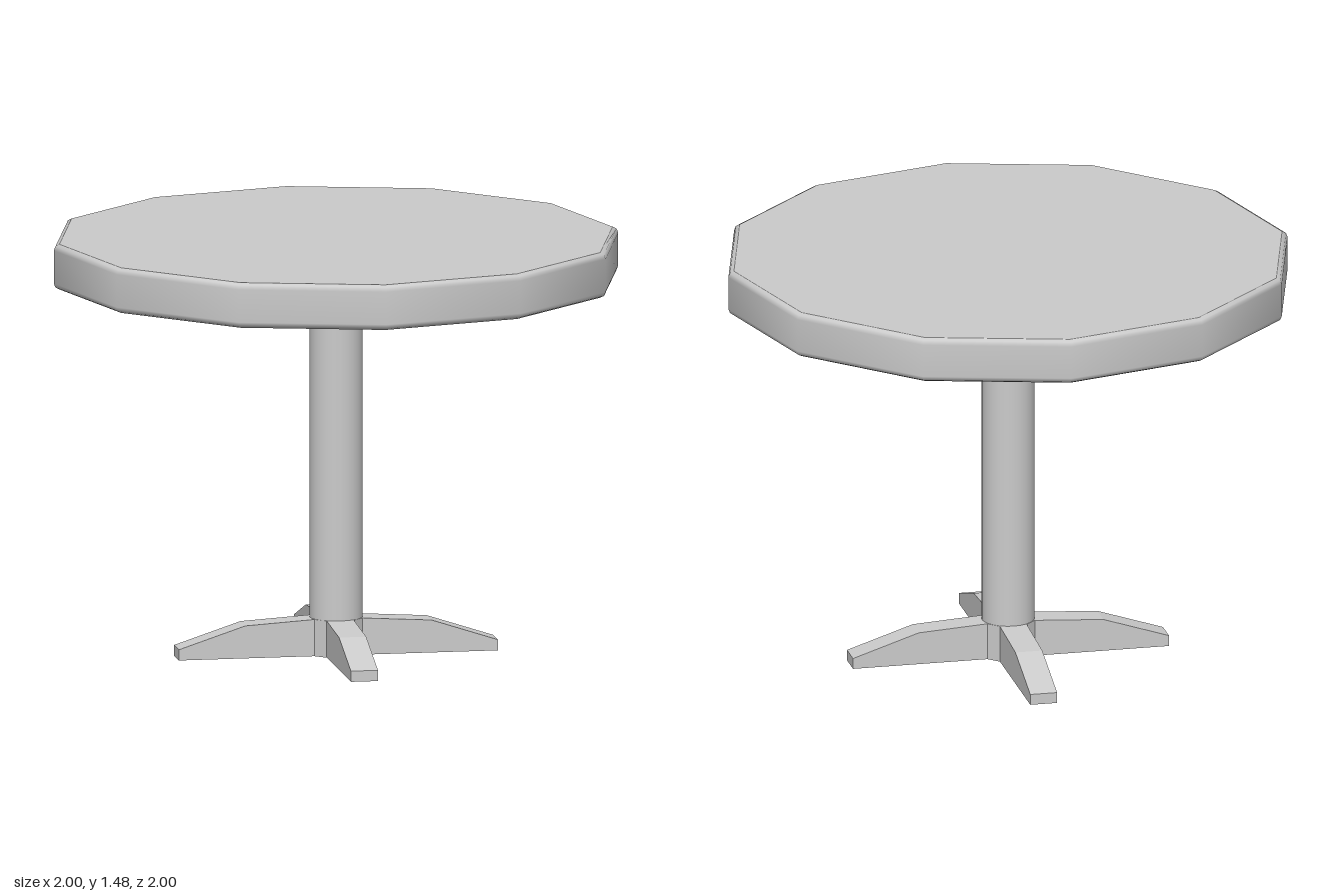
import * as THREE from 'three';

const material = new THREE.MeshStandardMaterial({ color: 0xcccccc });

function addMesh(parent, name, geometry) {
  const mesh = new THREE.Mesh(geometry, material);
  mesh.name = name;
  parent.add(mesh);
  return mesh;
}

export function createModel() {
  const table = new THREE.Group();
  table.name = 'pedestalTable';

  // Twelve-sided top: smooth rim with softened edges, closed by flat discs
  const top = new THREE.Group();
  top.name = 'tableTop';
  table.add(top);
  const sides = 12, bottomY = 1.32, topY = 1.48, capRadius = 0.98;
  const rim = [
    [capRadius, bottomY], [0.994, bottomY + 0.007], [1, bottomY + 0.022],
    [1, topY - 0.022], [0.994, topY - 0.007], [capRadius, topY],
  ].map(([r, y]) => new THREE.Vector2(r, y));
  addMesh(top, 'topRim', new THREE.LatheGeometry(rim, sides));
  addMesh(top, 'topSurface', new THREE.CircleGeometry(capRadius, sides).rotateX(-Math.PI / 2).translate(0, topY, 0));
  addMesh(top, 'topUnderside', new THREE.CircleGeometry(capRadius, sides).rotateX(Math.PI / 2).translate(0, bottomY, 0));

  // Round column between hub and top
  const hubHeight = 0.13;
  const columnHeight = bottomY - hubHeight;
  addMesh(table, 'column', new THREE.CylinderGeometry(0.093, 0.093, columnHeight, 24))
    .position.y = hubHeight + columnHeight / 2;

  // Hub with chamfered corners
  const half = 0.048, reach = 0.085;
  const hub = new THREE.Shape([
    [reach, -half], [reach, half], [half, reach], [-half, reach],
    [-reach, half], [-reach, -half], [-half, -reach], [half, -reach],
  ].map(([x, y]) => new THREE.Vector2(x, y)));
  addMesh(table, 'hub', new THREE.ExtrudeGeometry(hub, { depth: hubHeight, bevelEnabled: false }).rotateX(-Math.PI / 2));

  // Four tapering feet
  const profile = new THREE.Shape([
    [reach, 0], [0.565, 0], [0.565, 0.038], [0.33, 0.115], [reach, hubHeight],
  ].map(([x, y]) => new THREE.Vector2(x, y)));
  const footGeometry = new THREE.ExtrudeGeometry(profile, { depth: half * 2, bevelEnabled: false }).translate(0, 0, -half);
  for (let i = 0; i < 4; i++) {
    addMesh(table, 'foot', footGeometry).rotation.y = i * Math.PI / 2;
  }

  return table;
}
